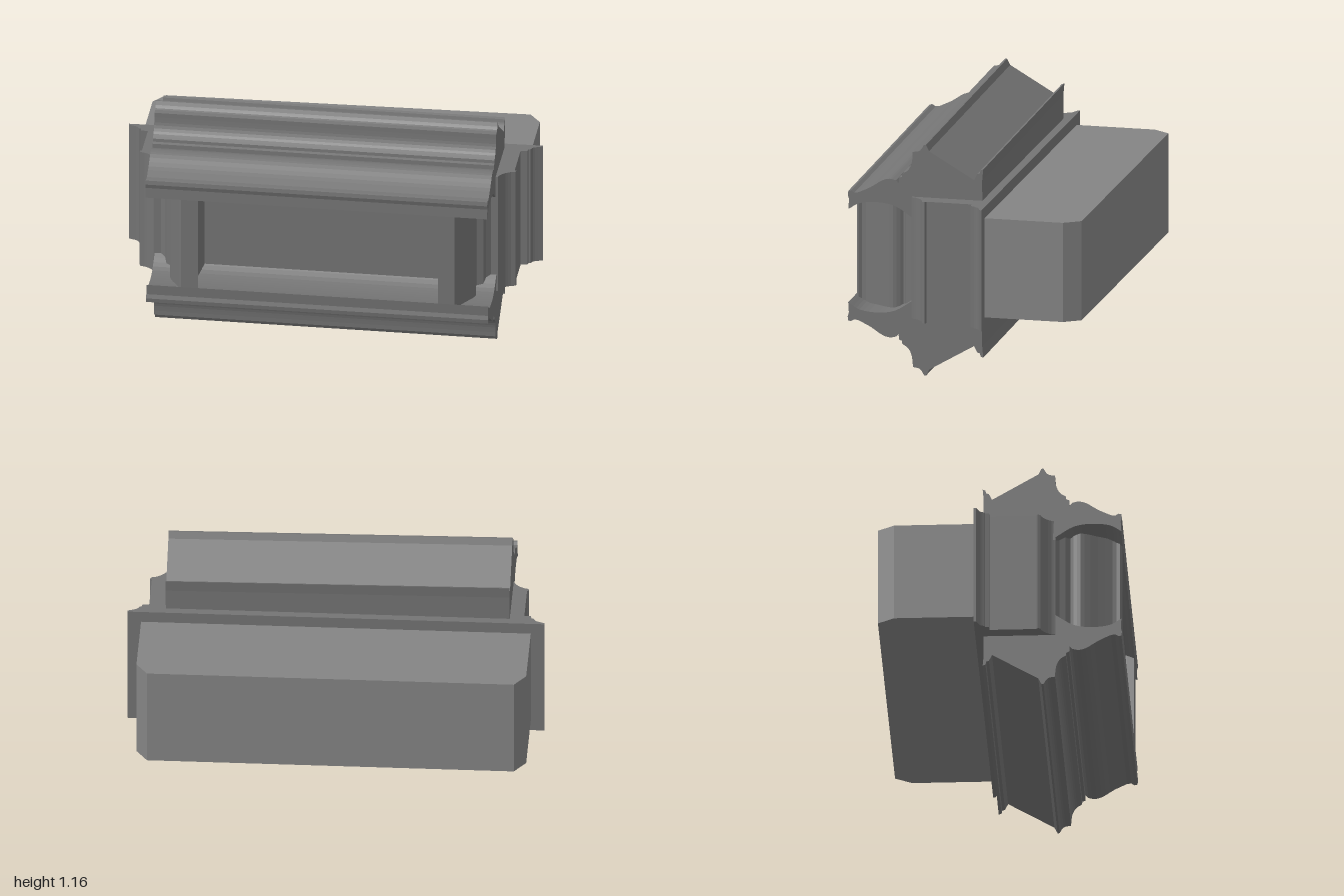
import * as THREE from 'three';

const material = (color) => new THREE.MeshStandardMaterial({ color, flatShading: true, side: THREE.DoubleSide });
const frameGrey = material(0x747474);
const boxGrey = material(0x848484);
const MID_Y = 0.58;

// Extrude a closed outline by the given length, centred on the extrusion axis
function extrude(name, points, length, mat) {
  const shape = new THREE.Shape(points.map(([a, b]) => new THREE.Vector2(a, b)));
  const geometry = new THREE.ExtrudeGeometry(shape, { depth: length, bevelEnabled: false });
  geometry.translate(0, 0, -length / 2);
  const mesh = new THREE.Mesh(geometry, mat);
  mesh.name = name;
  return mesh;
}

// Smooth a few guide points into a polyline
function smooth(points, n) {
  const curve = new THREE.CatmullRomCurve3(points.map(([a, b]) => new THREE.Vector3(a, b, 0)));
  return curve.getPoints(n).map((p) => [p.x, p.y]);
}

// Outline in plan (x, z) completed by mirroring its +x half
const symmetric = (half) => [...half, ...half.map(([x, z]) => [-x, z]).reverse()];

export function createModel() {
  const model = new THREE.Group();
  model.name = 'frameBox';

  // Horizontal mouldings, slightly rolled: (z, y) outline of the upper one
  const moulding = [
    ...smooth([[0.58, 0.81], [0.525, 0.842], [0.43, 0.852], [0.35, 0.838], [0.265, 0.785]], 16),
    [0.265, 0.77], [-0.08, 0.77], [-0.08, 0.99], [-0.085, 1.045], [-0.072, 1.04], [-0.068, 1.025],
    [-0.055, 1.02], [-0.04, 0.99], [0.182, 1.12], [0.197, 1.15], [0.207, 1.15],
    ...smooth([[0.216, 1.133], [0.23, 1.118], [0.262, 1.112]], 5),
    ...smooth([[0.263, 1.09], [0.268, 1.055], [0.285, 1.02], [0.314, 1.0]], 8),
    [0.316, 0.985], [0.33, 0.98], [0.332, 0.952],
    ...smooth([[0.345, 0.966], [0.375, 0.972], [0.41, 0.963], [0.47, 0.925], [0.53, 0.896]], 12),
    [0.55, 0.893], [0.567, 0.903], [0.58, 0.9], [0.583, 0.88], [0.577, 0.86],
  ];
  function rail(name, points, x) {
    const mesh = extrude(name, points, 1.65, frameGrey);
    mesh.rotation.y = -Math.PI / 2;
    const group = new THREE.Group();
    group.name = name;
    group.rotation.z = -0.012;
    group.position.x = x;
    group.add(mesh);
    model.add(group);
  }
  rail('upperMoulding', moulding, -0.017);
  rail('lowerMoulding', moulding.map(([z, y]) => [z, 2 * MID_Y - y]), -0.007);

  // Upright parts are plan outlines (x, z) extruded vertically
  function upright(name, points, height, mat) {
    const mesh = extrude(name, points, height, mat);
    mesh.rotation.x = Math.PI / 2;
    mesh.position.y = MID_Y;
    model.add(mesh);
  }

  // Central body with moulded ends and back flange
  upright('body', symmetric([
    [1.0, -0.12], [1.0, -0.11],
    ...smooth([[0.975, -0.1], [0.955, -0.09], [0.945, -0.07]], 4),
    [0.935, -0.07], [0.932, -0.05], [0.9, -0.048], [0.9, 0.175], [0.91, 0.182], [0.905, 0.195],
    ...smooth([[0.885, 0.2], [0.86, 0.215], [0.835, 0.245], [0.83, 0.265]], 6),
  ]), 0.6, frameGrey);

  // Rear box with chamfered back corners
  upright('rearBox', symmetric([[0.935, -0.12], [0.935, -0.505], [0.88, -0.585]]), 0.49, boxGrey);

  // Front side posts, hollowed inside and bulging outside
  const post = [
    ...smooth([[0.58, 0.575], [0.605, 0.52], [0.615, 0.44], [0.6, 0.35], [0.56, 0.25]], 12),
    [0.83, 0.25], [0.8, 0.262], [0.775, 0.28], [0.765, 0.31], [0.735, 0.32], [0.72, 0.332],
    ...smooth([[0.73, 0.345], [0.74, 0.375], [0.73, 0.41], [0.695, 0.47], [0.665, 0.53]], 7),
    [0.663, 0.55], [0.672, 0.565], [0.66, 0.577],
  ];
  upright('leftPost', post, 0.55, frameGrey);
  upright('rightPost', post.map(([x, z]) => [-x, z]), 0.55, frameGrey);

  // Recessed front panel
  const panel = new THREE.Mesh(new THREE.BoxGeometry(1.22, 0.54, 0.06), frameGrey);
  panel.name = 'frontPanel';
  panel.position.set(0, MID_Y, 0.27);
  model.add(panel);

  return model;
}
